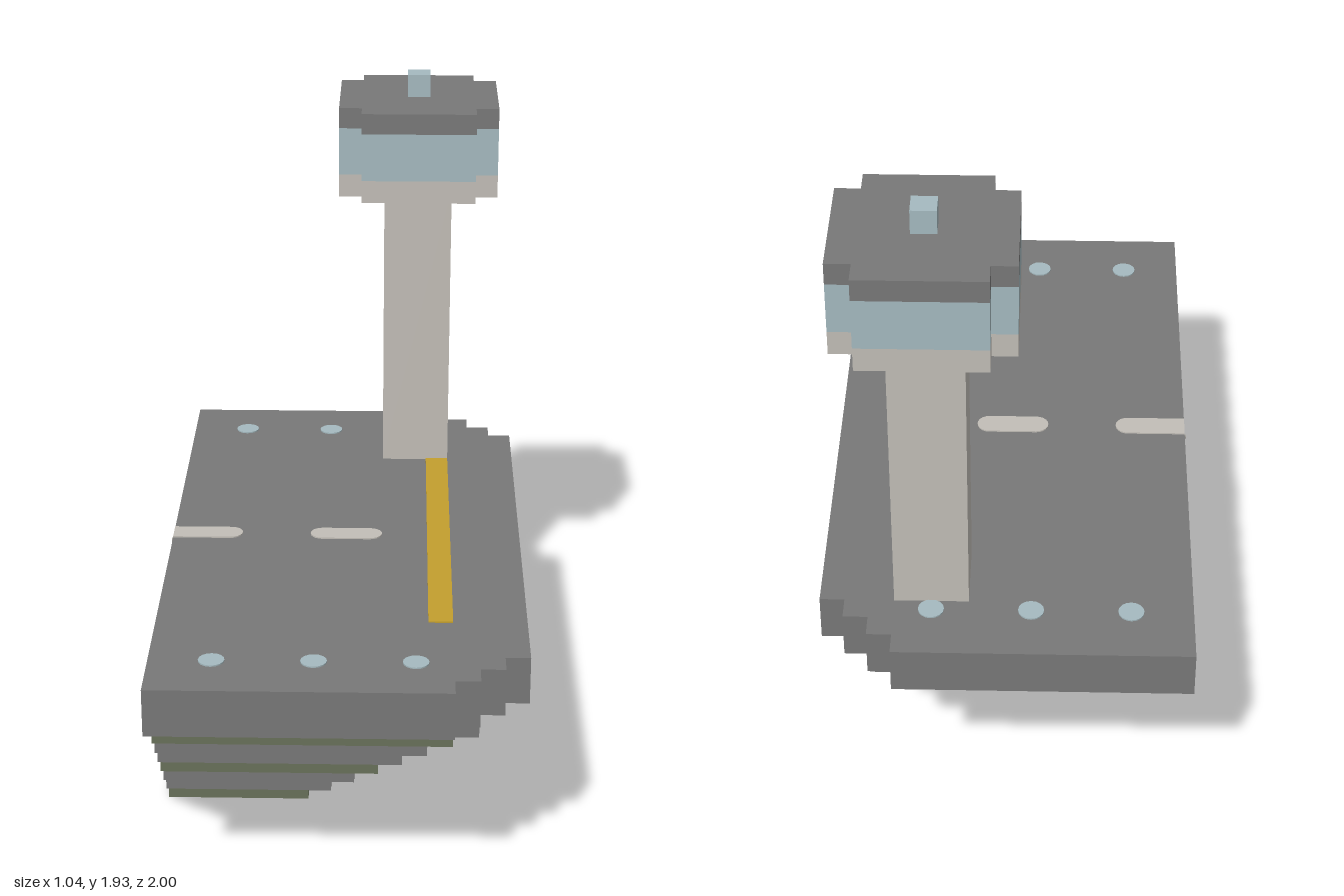
import * as THREE from 'three';

const U = 2 / 29; // one block
const T = 0.004;  // paint thickness
const DECK = 10 * U;

function material(name, color) {
  const m = new THREE.MeshStandardMaterial({ color });
  m.name = name;
  return m;
}

export function createModel() {
  const root = new THREE.Group();
  root.name = 'floatingRunwayWithTower';
  const grey = material('tarmacGrey', 0x787878);
  const green = material('mossGreen', 0x69715a);
  const white = material('concreteWhite', 0xc2beb7);
  const blue = material('glassBlue', 0xa5bac0);
  const yellow = material('lineYellow', 0xc39f2e);

  const add = (name, geometry, mat, parent = root) => {
    const mesh = new THREE.Mesh(geometry, mat);
    mesh.name = name;
    parent.add(mesh);
    return mesh;
  };
  // box given by its minimum and maximum corners
  const box = (name, mat, [x0, y0, z0], [x1, y1, z1], parent) => {
    const g = new THREE.BoxGeometry(x1 - x0, y1 - y0, z1 - z0);
    g.translate((x0 + x1) / 2, (y0 + y1) / 2, (z0 + z1) / 2);
    return add(name, g, mat, parent);
  };
  // plan outline in x,z, raised from y0 to y1
  const slab = (name, mat, points, y0, y1, parent) => {
    const shape = new THREE.Shape(points.map(([x, z]) => new THREE.Vector2(x, -z)));
    const g = new THREE.ExtrudeGeometry(shape, { depth: y1 - y0, bevelEnabled: false });
    g.rotateX(-Math.PI / 2).translate(0, y0, 0);
    return add(name, g, mat, parent);
  };

  // stepped underside, flush along the cut face at -x
  const left = -7.5 * U;
  const base = new THREE.Group();
  base.name = 'steppedBase';
  root.add(base);
  for (let k = 0; k < 8; k++) {
    const hz = (5.5 + k) * U;
    box('baseLayer' + k, k % 3 === 0 ? green : grey,
      [left, k * U, -hz], [left + (6 + k) * U, (k + 1) * U, hz], base);
  }

  // deck with staircase corners on the +x side
  const half = [[7.5, 0], [7.5, 11.5], [6.5, 11.5], [6.5, 12.5], [5.5, 12.5],
    [5.5, 13.5], [4.5, 13.5], [4.5, 14.5], [-7.5, 14.5]].slice(1);
  const outline = [...half, ...half.map(([x, z]) => [x, -z]).reverse()];
  slab('deck', grey, outline.map(([x, z]) => [x * U, z * U]), 8 * U, DECK);

  // control tower
  const tower = new THREE.Group();
  tower.name = 'controlTower';
  root.add(tower);
  const cx = 3 * U, cz = -10 * U;
  box('towerShaft', white, [cx - 1.5 * U, DECK, cz - 1.5 * U],
    [cx + 1.5 * U, 23 * U, cz + 1.5 * U], tower);
  const a = 3.5 * U, b = 2.5 * U;
  const cab = [[a, -b], [a, b], [b, b], [b, a], [-b, a], [-b, b],
    [-a, b], [-a, -b], [-b, -b], [-b, -a], [b, -a], [b, -b]]
    .map(([x, z]) => [cx + x, cz + z]);
  slab('cabFloor', white, cab, 23 * U, 1.655, tower);
  slab('cabWindows', blue, cab, 1.655, 1.8, tower);
  slab('cabRoof', grey, cab, 1.8, 27 * U, tower);
  box('beacon', blue, [cx - U / 2, 27 * U, cz - U / 2],
    [cx + U / 2, 28 * U, cz + U / 2], tower);

  // edge line
  box('edgeLine', yellow, [3.5 * U, DECK, -8.5 * U], [4.5 * U, DECK + T, 8.5 * U]);

  // runway lights
  for (const z of [-12, 12]) for (const x of [-5, -1, 3]) {
    const light = add('runwayLight', new THREE.CylinderGeometry(0.036, 0.036, T, 16), blue);
    light.position.set(x * U, DECK + T / 2, z * U);
  }

  // centre dashes with rounded ends; the first runs over the cut edge
  const r = 0.036;
  const dash = (x0, x1, roundStart) => {
    const pts = [];
    for (let i = 0; i <= 10; i++) {
      const t = Math.PI / 2 - i * Math.PI / 10;
      pts.push([x1 - r + r * Math.cos(t), r * Math.sin(t)]);
    }
    if (roundStart) pts.push(...pts.map(([x, z]) => [x0 + x1 - x, -z]));
    else pts.push([x0, -r], [x0, r]);
    // reversed so the outline is counter-clockwise seen from above
    slab('centreDash', white, pts.reverse(), DECK, DECK + T);
  };
  dash(left, -0.31, false);
  dash(-0.107, 0.107, true);
  const drip = add('centreDashEdge',
    new THREE.CylinderGeometry(r, r, T, 20, 1, false, 0, Math.PI), white);
  drip.rotation.z = -Math.PI / 2; // half disc hanging below the deck edge
  drip.position.set(left - T / 2, DECK, 0);
  return root;
}
